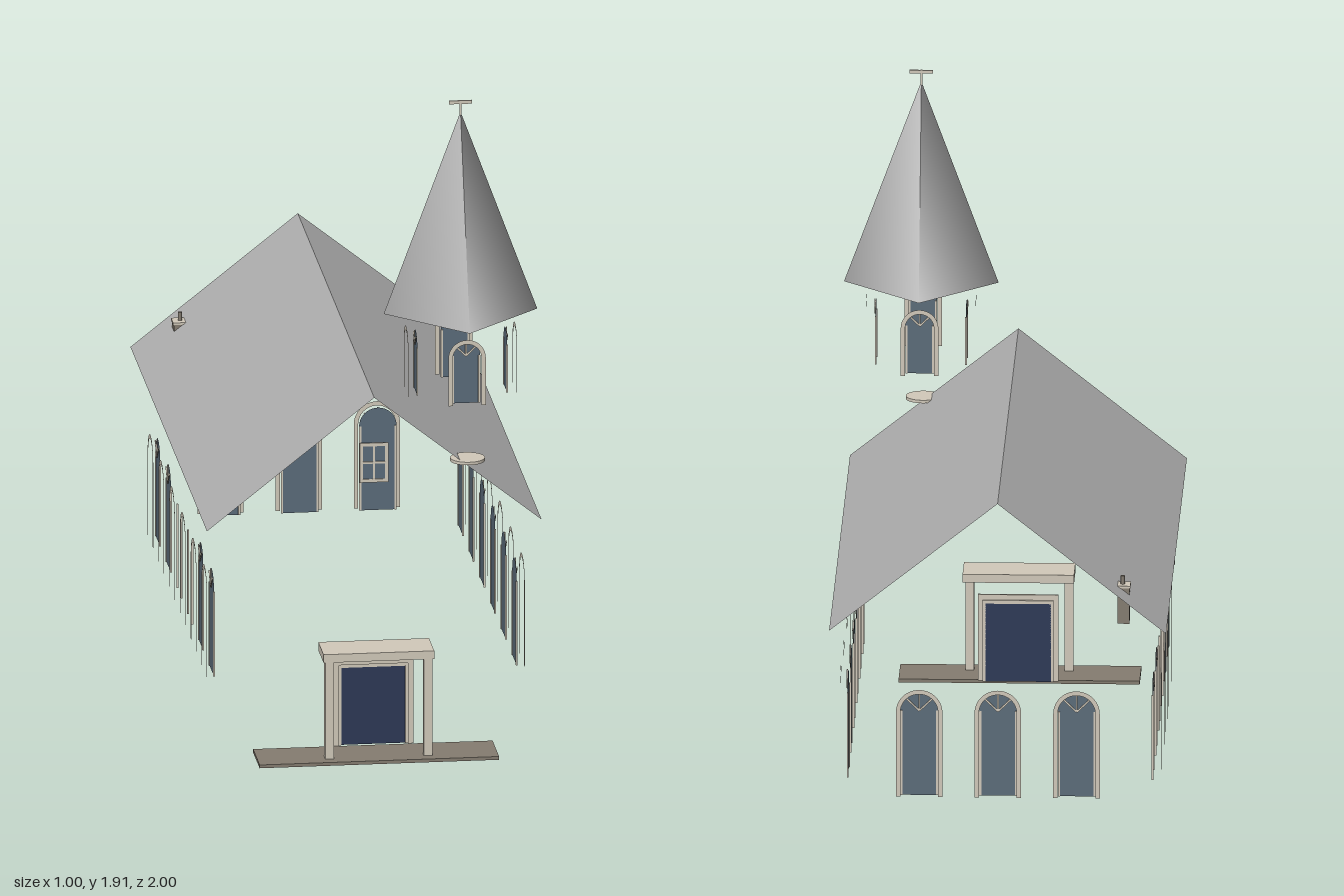
import * as THREE from 'three';

const mat = (name, color, side = THREE.FrontSide) => {
  const m = new THREE.MeshStandardMaterial({ color, side });
  m.name = name;
  return m;
};

export function createModel() {
  const roofGrey = mat('roofGrey', 0xb0b0b0, THREE.DoubleSide);
  const trim = mat('trimStone', 0xd2cabb, THREE.DoubleSide);
  const glass = mat('glassBlue', 0x5b6c7a, THREE.DoubleSide);
  const doorBlue = mat('doorBlue', 0x2c3856);
  const stone = mat('darkStone', 0x857d71);

  const root = new THREE.Group();
  root.name = 'church';
  const body = new THREE.Group();
  body.name = 'churchBody';
  body.position.x = -0.0075; // the ridge sits slightly off centre
  root.add(body);

  const add = (parent, name, geo, material, x = 0, y = 0, z = 0) => {
    const m = new THREE.Mesh(geo, material);
    m.name = name;
    m.position.set(x, y, z);
    parent.add(m);
    return m;
  };
  // Box given by its minimum and maximum corners
  const box = (parent, name, material, x0, x1, y0, y1, z0, z1) =>
    add(parent, name, new THREE.BoxGeometry(x1 - x0, y1 - y0, z1 - z0), material,
      (x0 + x1) / 2, (y0 + y1) / 2, (z0 + z1) / 2);

  // Round-headed outline of half width r
  const archShape = (r, spring) => {
    const s = new THREE.Shape();
    s.moveTo(-r, 0);
    s.lineTo(r, 0);
    s.lineTo(r, spring);
    s.absarc(0, spring, r, 0, Math.PI, false);
    s.lineTo(-r, 0);
    return s;
  };
  // Arched band, open at the foot
  const bandShape = (r, inner, spring) => {
    const s = new THREE.Shape();
    s.moveTo(inner, 0);
    s.lineTo(r, 0);
    s.lineTo(r, spring);
    s.absarc(0, spring, r, 0, Math.PI, false);
    s.lineTo(-r, 0);
    s.lineTo(-inner, 0);
    s.lineTo(-inner, spring);
    s.absarc(0, spring, inner, Math.PI, 0, true);
    s.lineTo(inner, 0);
    return s;
  };

  // Arched window facing +z: outer band, set-back pane, jambs and fan bars
  const archWindow = (parent, name, r, spring, depth, x, y, z, turn, glazed = true) => {
    const g = new THREE.Group();
    g.name = name;
    g.position.set(x, y, z);
    g.rotation.y = turn;
    parent.add(g);
    const inner = r - 0.013;
    add(g, 'windowSurround', new THREE.ShapeGeometry(bandShape(r, inner, spring), 16), trim);
    for (const s of [-1, 1])
      add(g, 'windowJamb', new THREE.BoxGeometry(0.006, spring, 0.005), trim, s * (inner - 0.003), spring / 2, -depth);
    if (!glazed) return;
    add(g, 'windowPane', new THREE.ShapeGeometry(archShape(inner, spring), 16), glass, 0, 0, -depth);
    for (const a of [-0.8, 0, 0.8]) {
      const bar = add(g, 'fanBar', new THREE.BoxGeometry(0.005, inner, 0.003), trim,
        -Math.sin(a) * inner / 2, spring + Math.cos(a) * inner / 2, -depth + 0.003);
      bar.rotation.z = a;
    }
  };

  // Roof slopes
  const slope = Math.hypot(0.4925, 0.39);
  for (const s of [-1, 1]) {
    const geo = new THREE.PlaneGeometry(slope, 1.855);
    geo.rotateX(-Math.PI / 2);
    geo.rotateZ(-s * Math.atan2(0.39, 0.4925));
    add(body, 'roofSlope', geo, roofGrey, s * 0.24625, 0.88, -0.0725);
  }

  // Side windows; the two middle ones on one side are unglazed
  for (let i = 0; i < 6; i++) {
    const z = 0.585 - i * 0.261;
    archWindow(body, 'leftWindow', 0.068, 0.257, 0.022, 0.4675, 0.175, z, Math.PI / 2);
    archWindow(body, 'rightWindow', 0.068, 0.257, 0.022, -0.4675, 0.175, z, -Math.PI / 2, i !== 2 && i !== 3);
  }
  // Back windows
  for (const x of [-0.23, 0, 0.23])
    archWindow(body, 'backWindow', 0.068, 0.257, 0.022, x, 0.175, -0.975, Math.PI);

  // Tower: four windows, spire and finial
  const tower = new THREE.Group();
  tower.name = 'tower';
  tower.position.set(0.2775, 0, 0.66);
  body.add(tower);
  for (let i = 0; i < 4; i++) {
    const a = i * Math.PI / 2;
    archWindow(tower, 'towerWindow', 0.055, 0.145, 0.028, Math.sin(a) * 0.16, 1.03, Math.cos(a) * 0.16, a);
  }
  add(tower, 'spire', new THREE.ConeGeometry(0.226, 0.61, 4, 1, true), roofGrey, 0, 1.575, 0);
  box(tower, 'finialPost', trim, -0.003, 0.003, 1.87, 1.915, -0.003, 0.003);
  box(tower, 'finialBar', trim, -0.034, 0.034, 1.904, 1.914, -0.003, 0.003);
  add(tower, 'roundLedge', new THREE.CylinderGeometry(0.051, 0.051, 0.009, 32), trim, 0, 0.871, 0.17);

  // Gable window with four panes
  const gx = 0.042;
  box(body, 'gablePane', glass, -gx, gx, 0.815, 0.935, 0.842, 0.846);
  for (const s of [-1, 0, 1]) {
    const w = s ? 0.005 : 0.003, k = s * (gx - 0.005), h = 0.875 + s * 0.055;
    box(body, 'gableUpright', trim, k - w, k + w, 0.815, 0.935, 0.844, 0.85);
    box(body, 'gableCrossbar', trim, -gx, gx, h - w, h + w, 0.844, 0.85);
  }

  // Porch: slab, posts and canopy
  box(body, 'porchSlab', stone, -0.355, 0.35, 0, 0.01, 0.84, 1);
  box(body, 'canopy', trim, -0.163, 0.163, 0.305, 0.33, 0.84, 0.968);
  for (const s of [-1, 1])
    add(body, 'porchPost', new THREE.BoxGeometry(0.025, 0.295, 0.025), trim, s * 0.145, 0.1575, 0.952);

  // Door with stepped surround
  box(body, 'door', doorBlue, -0.096, 0.096, 0.01, 0.246, 0.824, 0.829);
  const surround = (half, top, w, z0, z1) => {
    for (const s of [-1, 1])
      add(body, 'doorJamb', new THREE.BoxGeometry(w, top - 0.01, z1 - z0), trim,
        s * (half - w / 2), (top + 0.01) / 2, (z0 + z1) / 2);
    box(body, 'doorLintel', trim, -half + w, half - w, top - w, top, z0, z1);
  };
  surround(0.118, 0.272, 0.016, 0.83, 0.838);
  surround(0.104, 0.256, 0.01, 0.824, 0.833);

  // Chimney with cap and flue
  box(body, 'chimney', stone, -0.382, -0.348, 0.685, 0.793, -0.898, -0.852);
  box(body, 'chimneyCap', trim, -0.385, -0.345, 0.793, 0.8, -0.901, -0.849);
  add(body, 'chimneyFlue', new THREE.CylinderGeometry(0.006, 0.006, 0.025, 12), stone, -0.362, 0.8125, -0.875);

  return root;
}
